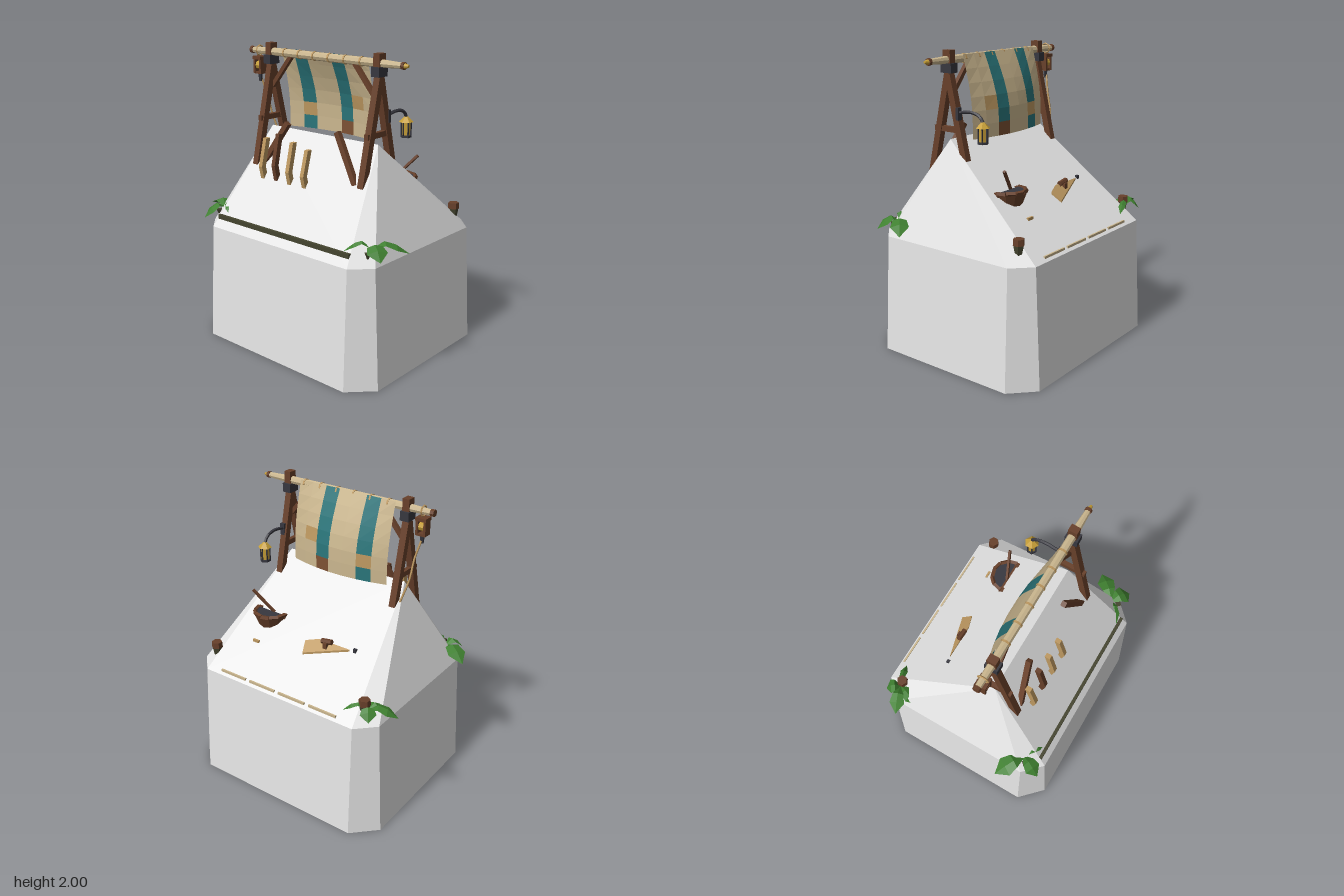
import * as THREE from 'three';
import { ConvexGeometry } from 'three/addons/geometries/ConvexGeometry.js';

const V = (x, y, z) => new THREE.Vector3(x, y, z);

export function createModel() {
  const root = new THREE.Group();
  const mat = (name, color, double = false) => {
    const m = new THREE.MeshStandardMaterial({ color, flatShading: true });
    m.name = name;
    if (double) m.side = THREE.DoubleSide;
    return m;
  };
  const stone = mat('paleStone', 0xe6e6e6);
  const timber = mat('timber', 0x68402a);
  const canvas = mat('canvas', 0xcbb78f, true);
  const teal = mat('tealCloth', 0x2a757a, true);
  const ochre = mat('ochreWood', 0xbd9860, true);
  const gold = mat('brass', 0xc79f38);
  const iron = mat('iron', 0x37373f);
  const leafGreen = mat('leafGreen', 0x3f8030, true);
  const olive = mat('darkOlive', 0x45452f);

  const add = (name, geo, material, x = 0, y = 0, z = 0, parent = root) => {
    const m = new THREE.Mesh(geo, material);
    m.name = name;
    m.position.set(x, y, z);
    parent.add(m);
    return m;
  };
  const box = (name, material, w, h, d, x, y, z, parent) =>
    add(name, new THREE.BoxGeometry(w, h, d), material, x, y, z, parent);
  const cyl = (name, material, r1, r2, h, x, y, z, sides = 6, parent = root) =>
    add(name, new THREE.CylinderGeometry(r1, r2, h, sides), material, x, y, z, parent);
  // Square bar running between two points
  const beam = (name, material, a, b, w, d = w) => {
    const dir = b.clone().sub(a);
    const m = add(name, new THREE.BoxGeometry(w, dir.length(), d), material);
    m.position.copy(a).lerp(b, 0.5);
    m.quaternion.setFromUnitVectors(V(0, 1, 0), dir.normalize());
    return m;
  };

  // Chamfered block rising to a ridge
  const pts = [V(-0.46, 1.44, 0.16), V(0.46, 1.44, 0.16)];
  for (const sx of [-1, 1]) for (const sz of [-1, 1]) {
    pts.push(V(0.605 * sx, 0, 0.657 * sz), V(0.757 * sx, 0, 0.507 * sz));
    pts.push(V(0.595 * sx, 0.79, 0.615 * sz), V(0.715 * sx, 0.79, 0.495 * sz));
  }
  add('body', new ConvexGeometry(pts), stone);

  // Dark ledge showing through the front slope, with corner studs
  box('frontLedge', olive, 1.16, 0.06, 0.1, 0, 0.84, 0.53);
  for (const s of [-1, 1]) {
    const stud = add('cornerStud', new THREE.ConeGeometry(0.025, 0.05, 4), olive, 0.66 * s, 0.85, 0.5);
    stud.rotation.x = Math.PI;
  }

  // A-frames, iron bands and braces
  for (const s of [-1, 1]) {
    const x = 0.46 * s;
    beam('frontLeg', timber, V(x, 1.9, 0.15), V(x, 1.19, 0.315), 0.045);
    beam('backLeg', timber, V(x, 1.9, 0.17), V(x, 1.19, 0.005), 0.045);
    box('crossRail', timber, 0.03, 0.035, 0.22, x, 1.505, 0.17);
    box('postHead', timber, 0.048, 0.13, 0.06, x, 1.935, 0.16);
    box('postBand', iron, 0.062, 0.06, 0.085, x, 1.89, 0.16);
    beam('upperBrace', timber, V(0.45 * s, 1.71, 0.16), V(0.27 * s, 1.925, 0.16), 0.028);
    beam('lowerBrace', timber, V(0.405 * s, 1.2, 0.31), V(0.215 * s, 1.5, 0.26), 0.035);
  }

  // Yard with rope rings and end caps
  const rod = (name, material, r1, r2, len, x) => {
    const m = cyl(name, material, r1, r2, len, x, 1.94, 0.16, 8);
    m.rotation.z = -Math.PI / 2;
  };
  rod('yardMiddle', canvas, 0.027, 0.027, 0.9, 0);
  rod('yardLeft', canvas, 0.018, 0.027, 0.19, 0.545);
  rod('yardRight', canvas, 0.027, 0.02, 0.18, -0.54);
  rod('yardCap', timber, 0.024, 0.024, 0.025, -0.635);
  rod('yardCap', timber, 0.023, 0.023, 0.02, 0.64);
  rod('yardTip', gold, 0.008, 0.018, 0.03, 0.662);
  for (let i = 0; i < 6; i++) rod('ropeRing', ochre, 0.031, 0.031, 0.012, -0.325 + i * 0.13);

  // Billowing cloth in a grid of coloured cells
  const cols = 7, rows = 6, pos = [], cells = [];
  const cloth = (i, j) => {
    const u = (i / cols) * 2 - 1, t = j / rows;
    const swell = Math.sin(Math.min(1, t * 1.25) * Math.PI / 2);
    return [-0.383 + i * 0.105, 1.965 - t * 0.535, 0.14 - (0.075 + 0.055 * (1 - u * u)) * swell];
  };
  for (let j = 0; j < rows; j++) for (let i = 0; i < cols; i++) {
    const a = cloth(i, j), b = cloth(i + 1, j), c = cloth(i + 1, j + 1), d = cloth(i, j + 1);
    pos.push(...a, ...d, ...c, ...a, ...c, ...b);
    let k = i === 1 || i === 4 ? 1 : 0;
    if ((i === 1 && j === 4) || (i === 5 && j === 3)) k = 2;
    if (i === 4 && j === 5) k = 3;
    cells.push(k);
  }
  const clothGeo = new THREE.BufferGeometry();
  clothGeo.setAttribute('position', new THREE.Float32BufferAttribute(pos, 3));
  clothGeo.computeVertexNormals();
  cells.forEach((k, n) => clothGeo.addGroup(n * 6, 6, k));
  const brownPatch = mat('brownPatch', 0x7d5234, true);
  add('sailCloth', clothGeo, [canvas, teal, ochre, brownPatch]);

  // Bent stakes on the front slope
  [[-0.345, 1.115, 1.395, ochre], [-0.225, 1.13, 1.44, timber],
    [-0.1, 1.115, 1.4, ochre], [0.03, 1.12, 1.37, ochre]].forEach(([x, y0, y1, m]) => {
    const g = new THREE.BoxGeometry(0.03, y1 - y0, 0.036, 1, 3);
    const p = g.attributes.position;
    for (let i = 0; i < p.count; i++) {
      const t = p.getY(i) / (y1 - y0) + 0.5;
      p.setZ(i, p.getZ(i) + (t < 0.34 ? 0.36 + t * 0.06 : 0.38 - (t - 0.33) * 0.07));
    }
    g.computeVertexNormals();
    add('stake', g, m, x, (y0 + y1) / 2, 0);
  });

  // Pulley block and hanging rope
  const pulley = new THREE.Group();
  pulley.name = 'pulley';
  pulley.position.set(-0.57, 1.84, 0.16);
  root.add(pulley);
  for (const s of [-1, 1]) box('cheek', timber, 0.016, 0.11, 0.06, 0.027 * s, 0, 0, pulley);
  box('pulleyTop', timber, 0.075, 0.022, 0.07, 0, 0.05, 0, pulley);
  box('pulleyBase', timber, 0.06, 0.016, 0.05, 0, -0.05, 0, pulley);
  cyl('wheel', gold, 0.028, 0.028, 0.036, 0, 0, 0, 8, pulley).rotation.z = Math.PI / 2;
  cyl('hook', iron, 0.016, 0.01, 0.05, 0, -0.085, 0, 6, pulley);
  add('hangerRing', new THREE.TorusGeometry(0.033, 0.006, 4, 8), ochre, 0, 0.1, 0, pulley).rotation.y = Math.PI / 2;
  const rope = new THREE.CatmullRomCurve3([V(-0.57, 1.75, 0.15), V(-0.545, 1.63, 0.12),
    V(-0.535, 1.5, 0.09), V(-0.49, 1.34, 0.06)]);
  add('rope', new THREE.TubeGeometry(rope, 10, 0.007, 5), ochre);

  // Lantern on an iron arm
  const arm = new THREE.CatmullRomCurve3([V(0.468, 1.615, 0.09), V(0.468, 1.63, -0.02),
    V(0.468, 1.61, -0.09), V(0.468, 1.575, -0.115)]);
  add('lanternArm', new THREE.TubeGeometry(arm, 8, 0.011, 5), iron);
  box('armPlate', iron, 0.035, 0.08, 0.02, 0.468, 1.61, 0.08);
  const lantern = new THREE.Group();
  lantern.name = 'lantern';
  lantern.position.set(0.468, 1.51, -0.115);
  root.add(lantern);
  cyl('lanternRoof', gold, 0.012, 0.047, 0.035, 0, 0.05, 0, 6, lantern);
  cyl('lanternGlass', gold, 0.029, 0.027, 0.085, 0, -0.01, 0, 6, lantern);
  cyl('lanternBase', iron, 0.036, 0.036, 0.014, 0, -0.06, 0, 6, lantern);
  for (let i = 0; i < 6; i++) {
    const a = i * Math.PI / 3;
    box('cageBar', iron, 0.007, 0.09, 0.007, Math.sin(a) * 0.031, -0.01, Math.cos(a) * 0.031, lantern);
  }

  // Half-round tub with dark contents and a stick
  const tub = add('tub', new THREE.CylinderGeometry(0.122, 0.08, 0.11, 6, 1, false, Math.PI / 2, Math.PI), timber, 0.345, 1.085, -0.215);
  tub.material = timber;
  box('tubFront', timber, 0.2, 0.1, 0.012, 0.345, 1.08, -0.213);
  add('tubContents', new THREE.CylinderGeometry(0.1, 0.1, 0.006, 6, 1, false, Math.PI / 2, Math.PI), iron, 0.345, 1.142, -0.22);
  for (let i = 0; i < 6; i++) {
    const at = k => V(0.345 + 0.113 * Math.cos(k * Math.PI / 6), 1.142, -0.215 - 0.113 * Math.sin(k * Math.PI / 6));
    beam('tubRim', timber, at(i), at(i + 1), 0.022);
  }
  for (const s of [-1, 1]) box('tubHandle', timber, 0.03, 0.03, 0.03, 0.345 + 0.105 * s, 1.13, -0.21);
  beam('stick', timber, V(0.32, 1.14, -0.215), V(0.455, 1.29, -0.27), 0.016);
  box('tubWedge', ochre, 0.05, 0.02, 0.014, 0.345, 0.985, -0.385);

  // Things lying on the back slope: plank, roller and nail
  const slope = z => 1.44 - (0.16 - z) * 0.839;
  const plank = [];
  for (const [x, z] of [[-0.335, -0.27], [-0.03, -0.365], [-0.005, -0.3], [-0.095, -0.27]])
    plank.push(V(x, slope(z) + 0.014, z), V(x, slope(z) - 0.02, z));
  add('plank', new ConvexGeometry(plank), ochre);
  const roller = cyl('roller', timber, 0.018, 0.018, 0.08, -0.165, slope(-0.28) + 0.03, -0.28, 6);
  roller.rotation.z = Math.PI / 2 - 0.15;
  box('rollerStand', timber, 0.03, 0.04, 0.04, -0.165, slope(-0.285) + 0.01, -0.29);
  box('nail', iron, 0.022, 0.025, 0.018, -0.37, slope(-0.26) + 0.005, -0.26);

  // Slats along the back edge
  for (let i = 0; i < 4; i++)
    box('backSlat', canvas, 0.21, 0.02, 0.012, -0.355 + i * 0.243, 0.81, -0.592);

  // Tapered bollards at the back corners
  for (const s of [-1, 1]) {
    cyl('bollard', olive, 0.036, 0.02, 0.09, 0.605 * s, 0.87, -0.495);
    cyl('bollardCap', timber, 0.036, 0.038, 0.04, 0.605 * s, 0.925, -0.495);
  }

  // Drooping folded leaves
  const leaf = (base, tip, width) => {
    const side = V(tip.z - base.z, 0, base.x - tip.x).normalize();
    const p = [], index = [];
    [[0, 0.15, 0], [0.35, 0.75, 0.055], [0.65, 1, 0.045], [1, 0, 0]].forEach(([t, w, up], j) => {
      const c = base.clone().lerp(tip, t);
      c.y += up;
      for (const s of [-1, 0, 1]) {
        const q = c.clone().addScaledVector(side, s * w * width / 2);
        p.push(q.x, q.y - Math.abs(s) * w * 0.018, q.z);
      }
      if (j) for (const k of [0, 1]) {
        const a = (j - 1) * 3 + k;
        index.push(a, a + 1, a + 4, a, a + 4, a + 3);
      }
    });
    const g = new THREE.BufferGeometry();
    g.setAttribute('position', new THREE.Float32BufferAttribute(p, 3));
    g.setIndex(index);
    g.computeVertexNormals();
    add('leaf', g, leafGreen);
  };
  const plants = [
    [V(-0.63, 0.89, 0.47), [[-0.82, 0.85, 0.36, 0.13], [-0.69, 0.83, 0.61, 0.11], [-0.48, 0.87, 0.55, 0.05]]],
    [V(0.65, 0.89, 0.45), [[0.815, 0.85, 0.29, 0.12], [0.78, 0.85, 0.53, 0.13], [0.52, 0.87, 0.56, 0.06]]],
    [V(-0.63, 0.88, -0.5), [[-0.81, 0.85, -0.43, 0.1], [-0.68, 0.82, -0.35, 0.09], [-0.69, 0.85, -0.58, 0.1], [-0.48, 0.85, -0.55, 0.05]]],
  ];
  for (const [base, tips] of plants)
    for (const [x, y, z, w] of tips) leaf(base, V(x, y, z), w);

  return root;
}
